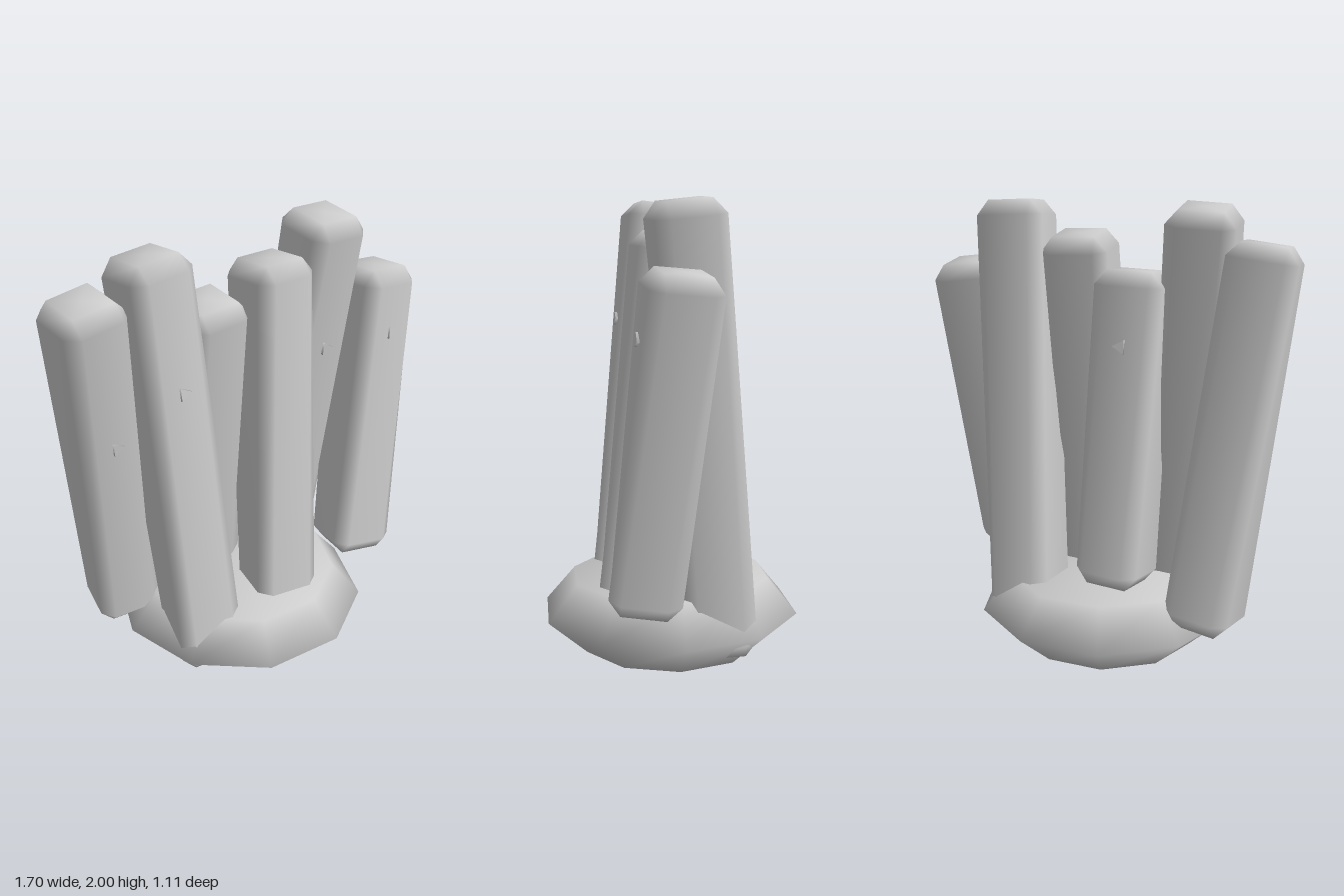
import * as THREE from 'three';
import { mergeVertices } from 'three/addons/utils/BufferGeometryUtils.js';

const grey = new THREE.MeshStandardMaterial({ color: 0xcccccc });

// Skins a stack of equal-length rings (bottom to top) and caps both ends.
function loft(rings) {
  const n = rings[0].length, top = rings.length - 1;
  const pos = rings.flat(2), index = [];
  for (let r = 0; r < top; r++) {
    for (let i = 0; i < n; i++) {
      const a = r * n + i, b = r * n + (i + 1) % n;
      index.push(a, a + n, b, b, a + n, b + n);
    }
  }
  const lowCentre = rings.length * n, highCentre = lowCentre + 1;
  pos.push(0, rings[0][0][1], 0, 0, rings[top][0][1], 0);
  for (let i = 0; i < n; i++) {
    const j = (i + 1) % n;
    index.push(lowCentre, i, j, highCentre, top * n + j, top * n + i);
  }
  const geo = new THREE.BufferGeometry();
  geo.setAttribute('position', new THREE.Float32BufferAttribute(pos, 3));
  geo.setIndex(index);
  const merged = mergeVertices(geo, 1e-4);
  merged.computeVertexNormals();
  return merged;
}

const HALF = 0.15, BEVEL = 0.055, TWIST = 0.12;

// Eight-point section of a bevelled square: edge e, corner k, turned about y.
function section(e, k, y, turn) {
  const c = Math.cos(turn), s = Math.sin(turn);
  return [[e, -k], [e, k], [k, e], [-k, e], [-e, k], [-e, -k], [-k, -e], [k, -e]]
    .map(([x, z]) => [x * c + z * s, y, z * c - x * s]);
}

// Bevelled square post, slightly twisted along its length.
function postGeometry(h) {
  const k = HALF - BEVEL;
  return loft([
    section(k, k, -h, -TWIST),
    section(HALF, k, -h + BEVEL * 1.2, -TWIST),
    section(HALF, k, h - BEVEL * 1.2, TWIST),
    section(k, k, h, TWIST),
  ]);
}

// Small raised triangular chip on a post face.
function chipGeometry() {
  const geo = new THREE.CylinderGeometry(0.034, 0.034, 0.012, 3);
  geo.rotateX(Math.PI / 2);
  geo.rotateZ(Math.PI / 2);
  return geo;
}

export function createModel() {
  const model = new THREE.Group();
  model.name = 'postsOnBase';

  // Ten-sided base, widest at mid height
  const ring = (r, y) => Array.from({ length: 10 }, (_, i) => {
    const a = i * Math.PI / 5;
    return [r * Math.cos(a), y, r * Math.sin(a)];
  });
  const base = new THREE.Mesh(loft([ring(0.405, 0), ring(0.585, 0.16), ring(0.45, 0.32)]), grey);
  base.name = 'base';
  model.add(base);

  // Posts fan out sideways and alternate between back and front rows
  const halfLengths = [0.835, 0.97, 0.695, 0.835, 0.97, 0.695];
  const chips = [[0.2, 1], [0.42, 1], [0.38, -1], null, [0.39, 1], [0.42, 1]]; // height, face
  halfLengths.forEach((h, i) => {
    const x = (i - 2.5) * 0.246;
    const side = i % 2 ? 1 : -1;
    const group = new THREE.Group();
    group.name = side > 0 ? 'frontPost' : 'backPost';
    group.position.set(x, 1.022, side * 0.1);
    group.rotation.set(-side * 0.1, 0, -x * 0.18);

    const post = new THREE.Mesh(postGeometry(h), grey);
    post.name = 'post';
    group.add(post);

    if (chips[i]) {
      const [y, face] = chips[i];
      const turn = new THREE.Group();
      turn.name = 'chipMount';
      turn.rotation.y = TWIST * y / h;
      const chip = new THREE.Mesh(chipGeometry(), grey);
      chip.name = 'chip';
      chip.position.set(0, y, face * HALF);
      turn.add(chip);
      group.add(turn);
    }
    model.add(group);
  });
  return model;
}
